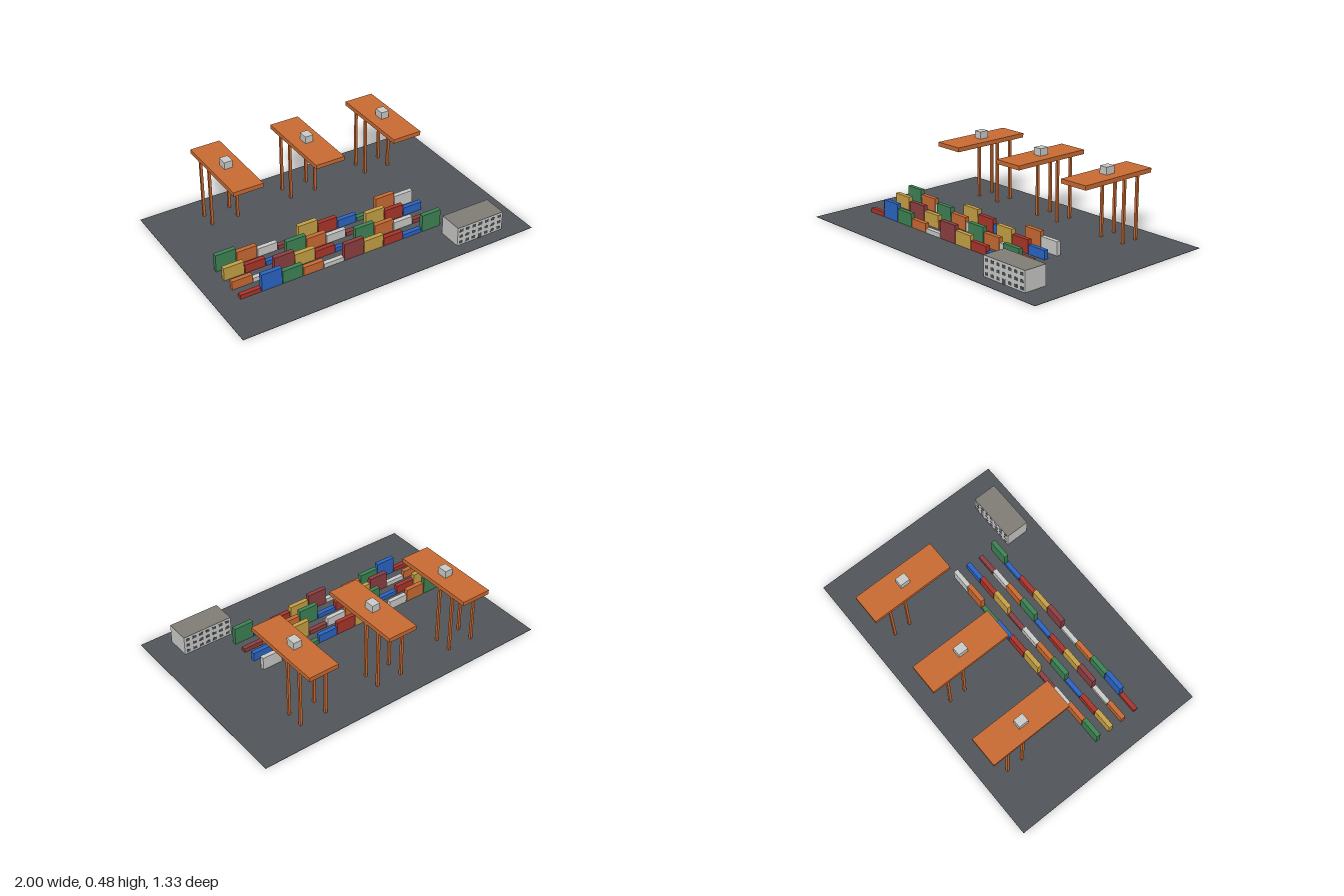
import * as THREE from 'three';

const mat = (name, color) => {
  const m = new THREE.MeshStandardMaterial({ color });
  m.name = name;
  return m;
};

export function createModel() {
  const asphalt = mat('asphalt', 0x53575b);
  const roofGrey = mat('roofGrey', 0x827f79);
  const glass = mat('darkGlass', 0x4a4e54);
  const red = mat('red', 0xac362c);
  const blue = mat('blue', 0x2b66c6);
  const green = mat('green', 0x3f8456);
  const orange = mat('orange', 0xcc6c33);
  const white = mat('paleGrey', 0xcdcdcb);
  const maroon = mat('maroon', 0x8f4042);
  const yellow = mat('yellow', 0xc9a346);

  const model = new THREE.Group();
  model.name = 'containerTerminal';

  // Box placed by its centre in x and z and by its base in y
  const box = (parent, name, material, [w, h, d], [x, y, z]) => {
    const mesh = new THREE.Mesh(new THREE.BoxGeometry(w, h, d), material);
    mesh.position.set(x, y + h / 2, z);
    mesh.name = name;
    parent.add(mesh);
    return mesh;
  };
  const group = (name, x = 0, z = 0) => {
    const g = new THREE.Group();
    g.name = name;
    g.position.set(x, 0, z);
    model.add(g);
    return g;
  };

  // Paved yard
  box(model, 'yard', asphalt, [2, 0.002, 1.334], [0, 0, 0]);

  // Container stacks: colours and heights step through a repeating cycle
  const paints = [red, blue, green, orange, white, maroon, yellow];
  const stacks = group('containerStacks');
  for (let row = 0; row < 4; row++) {
    for (let col = 0; col < 10; col++) {
      const tiers = 1 + ((3 * col + row) % 4);
      box(stacks, 'containerStack', paints[(col + 3 * row) % 7],
        [0.133, 0.029 * tiers, 0.029],
        [-0.778 + 0.1387 * col, 0.001, 0.336 - 0.1 * row]);
    }
  }

  // Quay cranes: four legs, a long deck and a cab on top
  for (const x of [-0.556, 0, 0.556]) {
    const crane = group('crane', x);
    for (const side of [-1, 1]) {
      for (const z of [-0.39, -0.501]) {
        box(crane, 'craneLeg', orange, [0.016, 0.401, 0.016], [side * 0.088, 0.001, z]);
      }
    }
    box(crane, 'craneDeck', orange, [0.198, 0.028, 0.557], [0, 0.401, -0.332]);
    box(crane, 'craneCab', white, [0.055, 0.047, 0.066], [0, 0.429, -0.333]);
  }

  // Office block with a darker flat roof
  const office = group('office', 0.666, 0.503);
  const [W, H, D] = [0.333, 0.127, 0.156];
  box(office, 'officeWalls', white, [W, H - 0.001, D], [0, 0.001, 0]);
  box(office, 'officeRoof', roofGrey, [W, 0.002, D], [0, H, 0]);

  // Window grid on both long walls, with a door in the middle of the front
  for (const face of [-1, 1]) {
    const z = face * D / 2;
    for (let floor = 0; floor < 3; floor++) {
      for (let i = -3; i <= 3; i++) {
        if (face > 0 && floor === 0 && i === 0) continue;
        box(office, 'window', glass, [0.026, 0.019, 0.002],
          [i * 0.047, 0.013 + floor * 0.041, z]);
      }
    }
  }
  box(office, 'door', glass, [0.026, 0.031, 0.002], [0, 0.002, D / 2]);

  return model;
}
